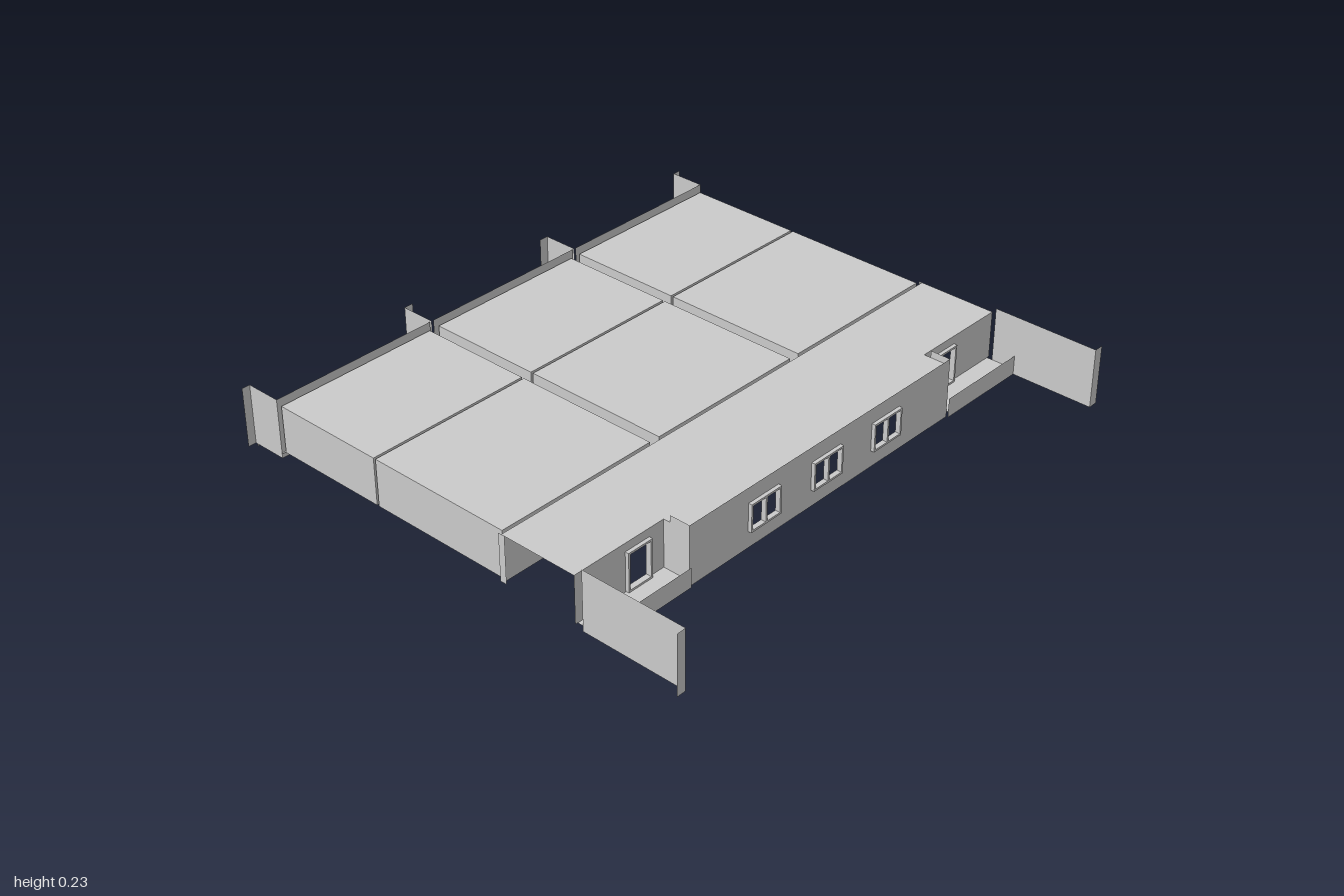
import * as THREE from 'three';

const sheetMat = new THREE.MeshStandardMaterial({ color: 0xcccccc, side: THREE.DoubleSide });
const solidMat = new THREE.MeshStandardMaterial({ color: 0xcccccc });

const LOW = 0.03, ROOF = 0.2, TOP = 0.225, BASE = 0.01;

export function createModel() {
  const root = new THREE.Group();

  const add = (parent, name, geometry, material = sheetMat) => {
    const mesh = new THREE.Mesh(geometry, material);
    mesh.name = name;
    parent.add(mesh);
    return mesh;
  };

  const box = (parent, name, x0, x1, y0, y1, z0, z1) => {
    const mesh = add(parent, name, new THREE.BoxGeometry(x1 - x0, y1 - y0, z1 - z0), solidMat);
    mesh.position.set((x0 + x1) / 2, (y0 + y1) / 2, (z0 + z1) / 2);
  };

  // Thin upright sheet across x, with openings [x0, x1, y0, y1]
  const wallX = (parent, name, x0, x1, y0, y1, z, openings = []) => {
    const rect = (path, a, b, c, d) =>
      path.moveTo(a, c).lineTo(b, c).lineTo(b, d).lineTo(a, d).closePath();
    const shape = rect(new THREE.Shape(), x0, x1, y0, y1);
    openings.forEach(o => shape.holes.push(rect(new THREE.Path(), ...o)));
    add(parent, name, new THREE.ShapeGeometry(shape)).position.z = z;
  };

  // Thin upright sheet along z
  const wallZ = (parent, name, x, y0, y1, z0, z1) => {
    const mesh = add(parent, name, new THREE.PlaneGeometry(z1 - z0, y1 - y0));
    mesh.rotation.y = Math.PI / 2;
    mesh.position.set(x, (y0 + y1) / 2, (z0 + z1) / 2);
  };

  // Level sheet; floors show only from underneath
  const level = (parent, name, x0, x1, z0, z1, y, down = false) => {
    const mesh = add(parent, name, new THREE.PlaneGeometry(x1 - x0, z1 - z0), down ? solidMat : sheetMat);
    mesh.rotation.x = down ? Math.PI / 2 : -Math.PI / 2;
    mesh.position.set((x0 + x1) / 2, y, (z0 + z1) / 2);
  };

  // Border frame around an opening, with an optional middle post
  const frame = (parent, name, [x0, x1, y0, y1], z0, z1, post) => {
    const g = new THREE.Group();
    g.name = name;
    const t = 0.007;
    box(g, 'frameSide', x0, x0 + t, y0, y1, z0, z1);
    box(g, 'frameSide', x1 - t, x1, y0, y1, z0, z1);
    box(g, 'frameHead', x0 + t, x1 - t, y1 - t, y1, z0, z1);
    box(g, 'frameSill', x0 + t, x1 - t, y0, y0 + t, z0, z1);
    if (post) box(g, 'framePost', (x0 + x1 - t) / 2, (x0 + x1 + t) / 2, y0 + t, y1 - t, z0, z1);
    parent.add(g);
  };
  const windowAt = (x0, x1) => [x0, x1, 0.07, 0.17];
  const doorAt = (x0, x1) => [x0, x1, LOW + 0.002, 0.17];

  // Three rear units, each of two rooms with a balcony behind
  const units = [
    { x0: -0.96, x1: -0.345, b0: -0.97, b1: -0.335, win: [-0.84, -0.7], door: [-0.565, -0.465], inner: [-0.73, -0.625] },
    { x0: -0.305, x1: 0.305, b0: -0.32, b1: 0.32, win: [0.05, 0.19], door: [-0.19, -0.085], inner: [-0.03, 0.07] },
    { x0: 0.345, x1: 0.96, b0: 0.335, b1: 0.97, win: [0.7, 0.84], door: [0.465, 0.565], inner: [0.62, 0.72] },
  ];
  for (const u of units) {
    const unit = new THREE.Group();
    unit.name = 'rearUnit';
    root.add(unit);
    const inner = doorAt(...u.inner);
    for (const [z0, z1] of [[-0.77, -0.347], [-0.338, 0.2]]) {
      level(unit, 'roomRoof', u.x0, u.x1, z0, z1, ROOF);
      level(unit, 'roomFloor', u.x0, u.x1, z0, z1, LOW, true);
      wallZ(unit, 'sideWall', u.x0, LOW, ROOF, z0, z1);
      wallZ(unit, 'sideWall', u.x1, LOW, ROOF, z0, z1);
      wallX(unit, 'innerWall', u.x0, u.x1, LOW, ROOF, z1, [inner]);
    }
    wallX(unit, 'innerWall', u.x0, u.x1, LOW, ROOF, -0.338, [inner]);
    frame(unit, 'innerDoorFrame', inner, -0.347, -0.338, false);
    frame(unit, 'innerDoorFrame', inner, 0.2, 0.212, false);

    // Rear facade rises above the roof
    const win = windowAt(...u.win), door = doorAt(...u.door);
    wallX(unit, 'rearFacade', u.b0, u.b1, BASE, TOP, -0.778, [win, door]);
    frame(unit, 'rearWindowFrame', win, -0.79, -0.77, true);
    frame(unit, 'rearDoorFrame', door, -0.79, -0.77, false);
    level(unit, 'rearBalconyFloor', u.b0, u.b1, -0.9, -0.772, LOW);
    level(unit, 'rearBalconyUnderside', u.b0, u.b1, -0.9, -0.772, 0, true);
    wallX(unit, 'rearParapet', u.b0, u.b1, 0, 0.08, -0.9);
  }

  // Balcony dividers with a narrow lip on the outer edge
  for (const [x, lip] of [[-0.97, -0.03], [-0.328, 0.035], [0.328, -0.035], [0.97, 0.03]]) {
    wallZ(root, 'rearDivider', x, BASE, TOP, -0.907, -0.778);
    wallX(root, 'rearDividerLip', Math.min(x, x + lip), Math.max(x, x + lip), BASE, TOP, -0.907);
  }

  // Front block, open at both ends
  const front = new THREE.Group();
  front.name = 'frontBlock';
  root.add(front);
  level(front, 'frontRoof', -0.975, 0.975, 0.212, 0.5, ROOF);
  level(front, 'frontRoof', -0.61, 0.61, 0.5, 0.6, ROOF);
  level(front, 'frontFloor', -0.975, 0.975, 0.212, 0.5, LOW, true);
  level(front, 'frontFloor', -0.61, 0.61, 0.5, 0.6, LOW, true);
  wallX(front, 'corridorWall', -0.975, 0.975, LOW, ROOF, 0.212, units.map(u => doorAt(...u.inner)));

  const windows = [[-0.355, -0.22], [-0.068, 0.068], [0.22, 0.355]].map(w => windowAt(...w));
  wallX(front, 'frontFacade', -0.61, 0.61, BASE, TOP, 0.6, windows);
  windows.forEach(w => frame(front, 'frontWindowFrame', w, 0.595, 0.613, true));

  // Mirrored front balconies and end plates
  for (const s of [-1, 1]) {
    const span = (a, b) => s > 0 ? [a, b] : [-b, -a];
    const door = doorAt(...span(0.67, 0.77));
    wallZ(front, 'stepWall', s * 0.61, LOW, ROOF, 0.5, 0.6);
    wallZ(front, 'stepUpstand', s * 0.61, ROOF, TOP, 0.525, 0.6);
    wallX(front, 'recessedFacade', ...span(0.61, 0.975), LOW, ROOF, 0.5, [door]);
    frame(front, 'balconyDoorFrame', door, 0.493, 0.513, false);
    wallZ(front, 'cornerStub', s * 0.975, LOW, ROOF, 0.2, 0.225);
    level(front, 'frontBalconyFloor', ...span(0.61, 0.965), 0.5, 0.607, LOW);
    level(front, 'frontBalconyUnderside', ...span(0.61, 0.965), 0.5, 0.607, BASE, true);
    wallX(front, 'frontParapet', ...span(0.61, 0.965), BASE, 0.08, 0.607);
    wallZ(front, 'endPlate', s * 0.965, BASE, TOP, 0.52, 0.907);
    wallX(front, 'endPlateLip', ...span(0.965, 1), BASE, TOP, 0.907);
  }

  return root;
}
